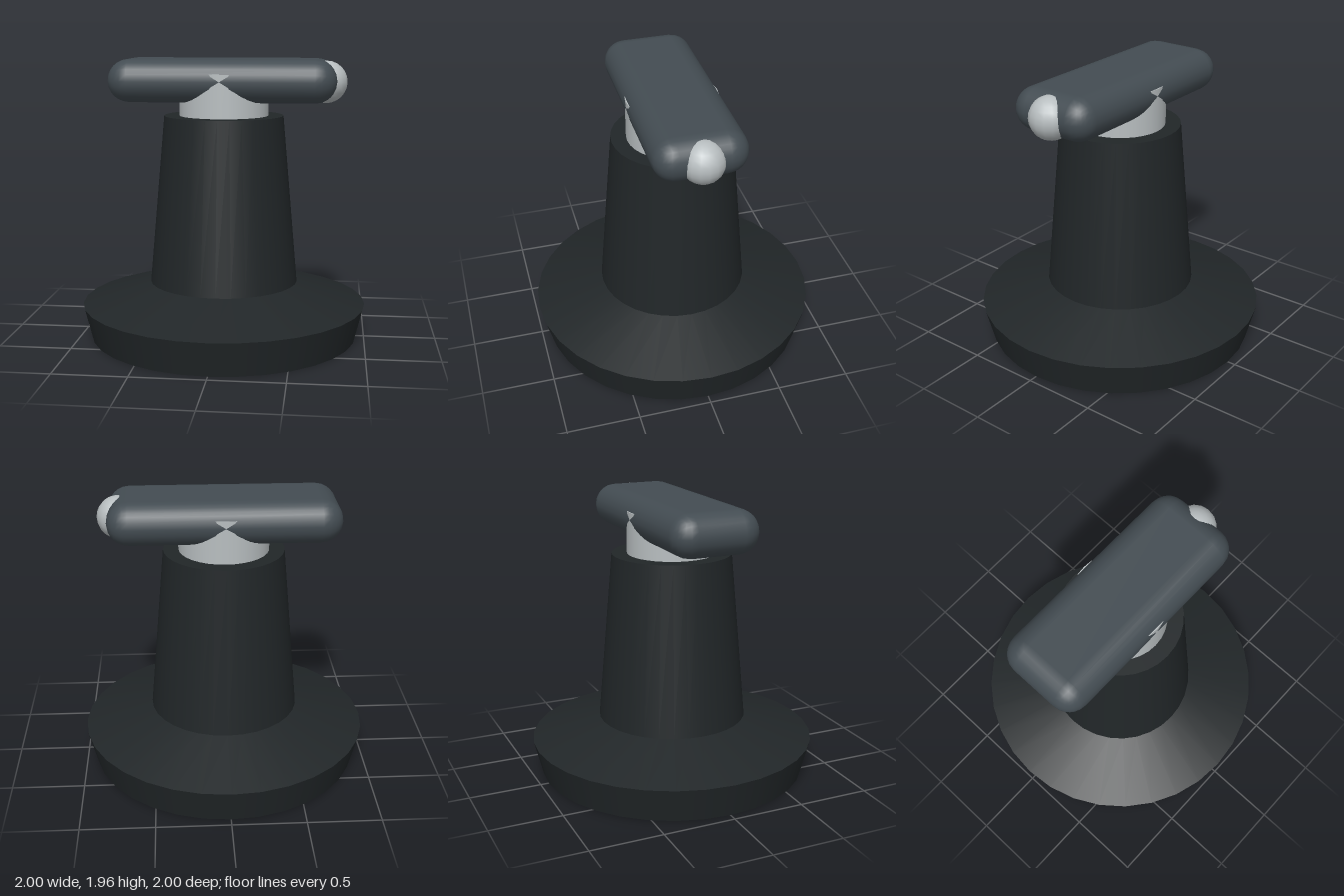
import * as THREE from 'three';
import { RoundedBoxGeometry } from 'three/addons/geometries/RoundedBoxGeometry.js';

const paint = (color) => new THREE.MeshStandardMaterial({ color });

export function createModel() {
  const model = new THREE.Group();
  model.name = 'tapKnob';
  const dark = paint(0x212628);
  const slate = paint(0x434c52);
  const metal = paint(0xb8bec0);

  const add = (name, geometry, material, x, y) => {
    const mesh = new THREE.Mesh(geometry, material);
    mesh.name = name;
    mesh.position.set(x, y, 0);
    model.add(mesh);
  };

  // Round section between two heights
  const drum = (name, material, rBottom, rTop, y0, y1, open = false) =>
    add(name, new THREE.CylinderGeometry(rTop, rBottom, y1 - y0, 32, 1, open), material, 0, (y0 + y1) / 2);

  // Flared foot with a sloping shoulder
  drum('base', dark, 0.94, 1, 0, 0.24);
  drum('baseShoulder', dark, 1, 0.52, 0.24, 0.39, true);

  // Tapered column and the short post above it
  drum('column', dark, 0.52, 0.415, 0.39, 1.565);
  drum('post', metal, 0.31, 0.31, 1.565, 1.86);

  // Pill-shaped crossbar with a ball set in its left end
  add('handle', new RoundedBoxGeometry(1.56, 0.294, 0.62, 3, 0.147), slate, 0, 1.81);
  add('endBall', new THREE.SphereGeometry(0.145, 16, 12), metal, 0.705, 1.8);

  return model;
}
